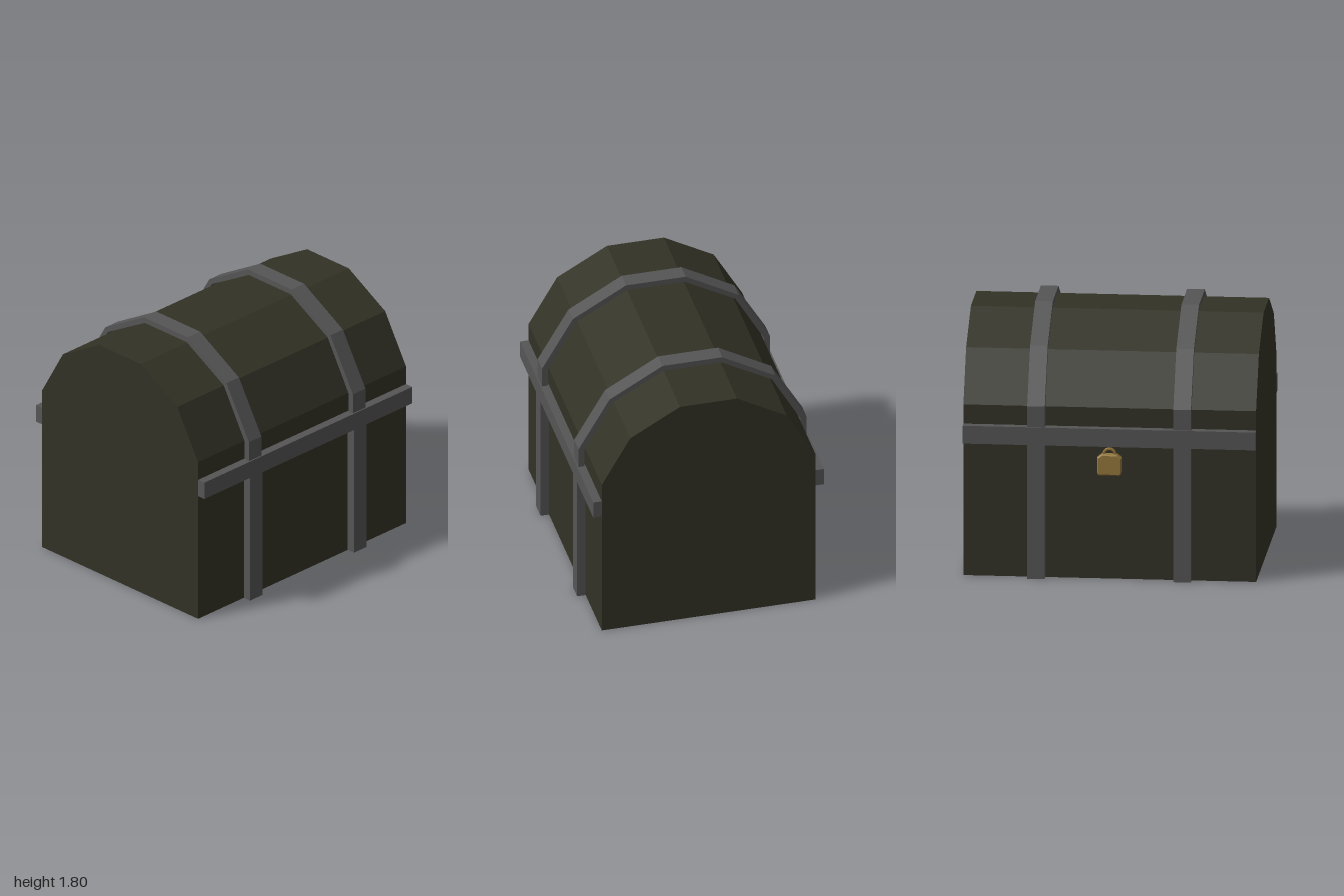
import * as THREE from 'three';

export function createModel() {
  const chest = new THREE.Group();
  chest.name = 'chest';
  const material = (name, color) => {
    const m = new THREE.MeshStandardMaterial({ color, flatShading: true });
    m.name = name;
    return m;
  };
  const wood = material('dark wood', 0x333226);
  const iron = material('iron', 0x555555);
  const brass = material('brass', 0x94763a);

  const add = (name, geometry, mat, x = 0, y = 0, z = 0, parent = chest) => {
    const mesh = new THREE.Mesh(geometry, mat);
    mesh.name = name;
    mesh.position.set(x, y, z);
    parent.add(mesh);
    return mesh;
  };

  // Extrude a z-y outline across x, centred on x = 0
  const extrudeAcross = (points, width) => {
    const shape = new THREE.Shape(points.map(([z, y]) => new THREE.Vector2(z, y)));
    return new THREE.ExtrudeGeometry(shape, { depth: width, bevelEnabled: false })
      .translate(0, 0, -width / 2)
      .rotateY(-Math.PI / 2);
  };
  // Complete half an arch (front foot to crown) with its mirror image
  const arch = half => [...half, ...half.map(([z, y]) => [-z, y]).reverse()];

  // Box and faceted lid
  add('body', extrudeAcross(arch([[0.75, 0], [0.75, 1.2], [0.55, 1.55], [0.2, 1.75]]), 2), wood);

  // Bands over the lid, standing slightly clear of the wood
  const outer = arch([[0.8, 1], [0.8, 1.21], [0.583, 1.583], [0.21, 1.797]]);
  const inner = arch([[0.758, 1], [0.758, 1.2], [0.557, 1.557], [0.202, 1.757]]);
  const bandGeometry = extrudeAcross([...outer, ...inner.reverse()], 0.12);
  for (const x of [-0.5, 0.5]) add('lidBand', bandGeometry, iron, x);

  // Straps on the front and back
  const railGeometry = new THREE.BoxGeometry(2, 0.125, 0.06);
  const strapGeometry = new THREE.BoxGeometry(0.12, 0.94, 0.06);
  for (const side of [-1, 1]) {
    add('rimStrap', railGeometry, iron, 0, 1.0025, side * 0.78);
    for (const x of [-0.5, 0.5]) add('uprightStrap', strapGeometry, iron, x, 0.47, side * 0.78);
  }

  // Padlock hanging under the rim strap
  const padlock = new THREE.Group();
  padlock.name = 'padlock';
  padlock.position.set(0, 0.81, -0.78);
  chest.add(padlock);
  const outline = new THREE.Shape();
  [[-0.068, -0.065], [0.068, -0.065], [0.075, -0.055], [0.075, 0.045], [0.05, 0.065], [-0.05, 0.065], [-0.075, 0.045], [-0.075, -0.055]]
    .forEach(([x, y], i) => (i ? outline.lineTo(x, y) : outline.moveTo(x, y)));
  const lockGeometry = new THREE.ExtrudeGeometry(outline, {
    depth: 0.044, bevelThickness: 0.008, bevelSize: 0.008, bevelSegments: 1,
  }).translate(0, 0, -0.022);
  add('lockBody', lockGeometry, brass, 0, 0, 0, padlock);
  add('shackle', new THREE.TorusGeometry(0.04, 0.01, 6, 10, Math.PI), brass, 0, 0.07, 0, padlock);

  return chest;
}
